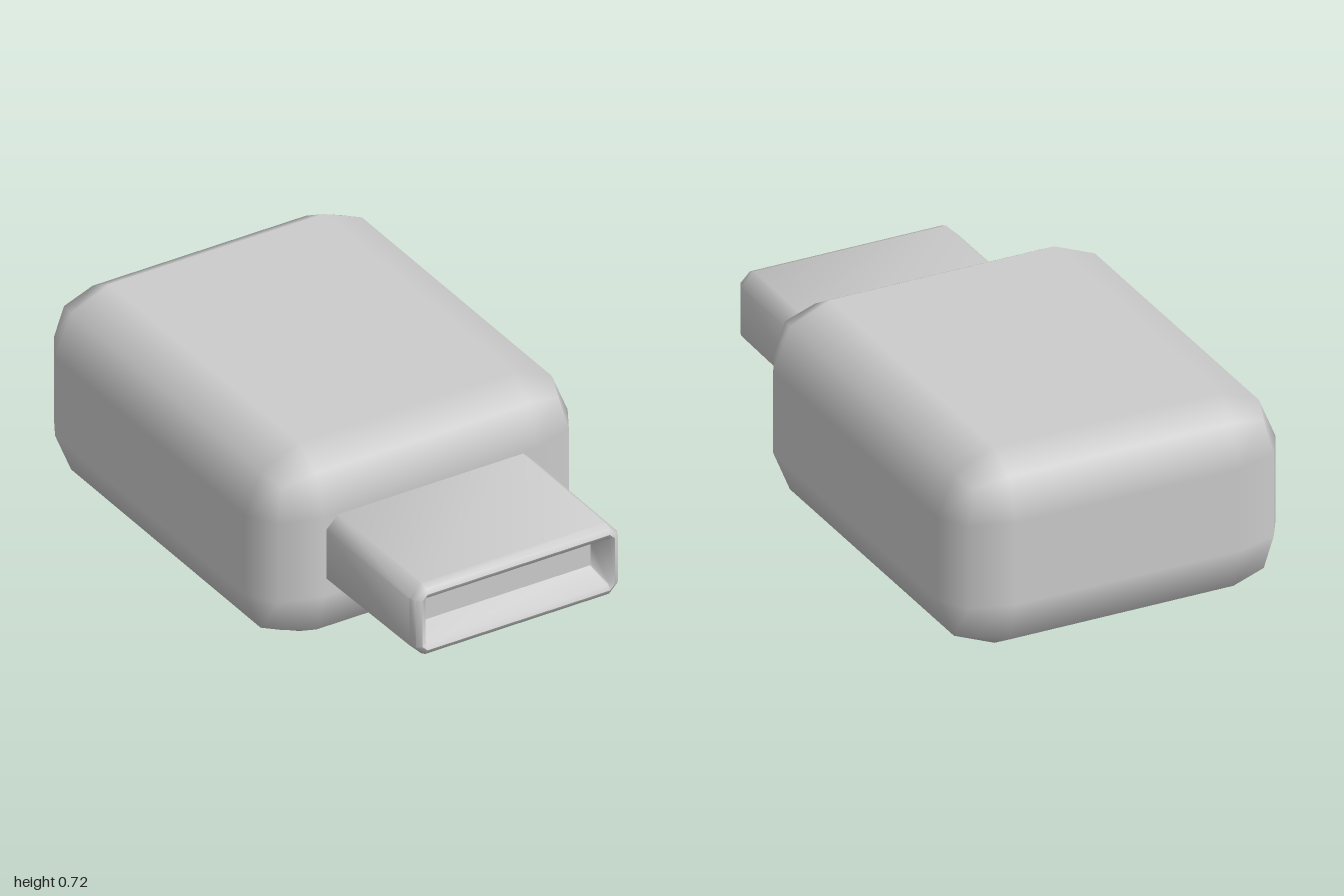
import * as THREE from 'three';
import { toCreasedNormals } from 'three/addons/utils/BufferGeometryUtils.js';

// Box whose edges and corners are bevelled in two steps, with smooth normals
function bevelledBox(half, bevel) {
  const geo = new THREE.BoxGeometry(2, 2, 2, 3, 3, 3);
  const pos = geo.attributes.position;
  const normal = geo.attributes.normal;
  const v = new THREE.Vector3();
  const d = new THREE.Vector3();
  const flatten = (t) => (Math.abs(t) > 0.9 ? Math.sign(t) : 0);
  for (let i = 0; i < pos.count; i++) {
    v.fromBufferAttribute(pos, i);
    d.set(flatten(v.x), flatten(v.y), flatten(v.z)).normalize();
    const place = (axis) => Math.sign(v[axis]) * (half[axis] - bevel[axis]) + d[axis] * bevel[axis];
    pos.setXYZ(i, place('x'), place('y'), place('z'));
    d.divide(bevel).normalize();
    normal.setXYZ(i, d.x, d.y, d.z);
  }
  return geo;
}

// Rectangle ring with cut corners, anticlockwise seen from the front
function ring({ w, h, cut, y, z }) {
  return [
    [w, -h + cut], [w, h - cut], [w - cut, h], [-w + cut, h],
    [-w, h - cut], [-w, -h + cut], [-w + cut, -h], [w - cut, -h],
  ].map(([px, py]) => [px, y + py, z]);
}

// Skin over a row of rings, closed by a cap on the last one
function loft(rings) {
  const points = rings.map(ring);
  const n = points[0].length;
  const index = [];
  for (let r = 0; r < points.length - 1; r++) {
    for (let i = 0; i < n; i++) {
      const a = r * n + i;
      const b = r * n + ((i + 1) % n);
      index.push(a, b, b + n, a, b + n, a + n);
    }
  }
  const last = (points.length - 1) * n;
  for (let i = 1; i < n - 1; i++) index.push(last, last + i, last + i + 1);
  const geo = new THREE.BufferGeometry();
  geo.setAttribute('position', new THREE.Float32BufferAttribute(points.flat(2), 3));
  geo.setIndex(index);
  return toCreasedNormals(geo, 0.85);
}

export function createModel() {
  const group = new THREE.Group();
  const grey = new THREE.MeshStandardMaterial({ color: 0xcccccc });
  grey.name = 'light grey';

  // Chunky rounded housing
  const body = new THREE.Mesh(
    bevelledBox(new THREE.Vector3(0.62, 0.36, 0.73), new THREE.Vector3(0.21, 0.21, 0.15)),
    grey
  );
  body.name = 'body';
  body.position.set(0, 0.36, -0.27);
  group.add(body);

  // Plug: outer sleeve, rounded rim, then the shallow tapering socket
  const plug = new THREE.Mesh(
    loft([
      { w: 0.4, h: 0.138, cut: 0.045, y: 0.368, z: 0.44 },
      { w: 0.398, h: 0.134, cut: 0.045, y: 0.372, z: 0.965 },
      { w: 0.388, h: 0.124, cut: 0.035, y: 0.372, z: 0.99 },
      { w: 0.37, h: 0.106, cut: 0.02, y: 0.372, z: 1.0 },
      { w: 0.352, h: 0.088, cut: 0.005, y: 0.372, z: 0.99 },
      { w: 0.325, h: 0.045, cut: 0.003, y: 0.374, z: 0.92 },
    ]),
    grey
  );
  plug.name = 'plug';
  group.add(plug);

  return group;
}
